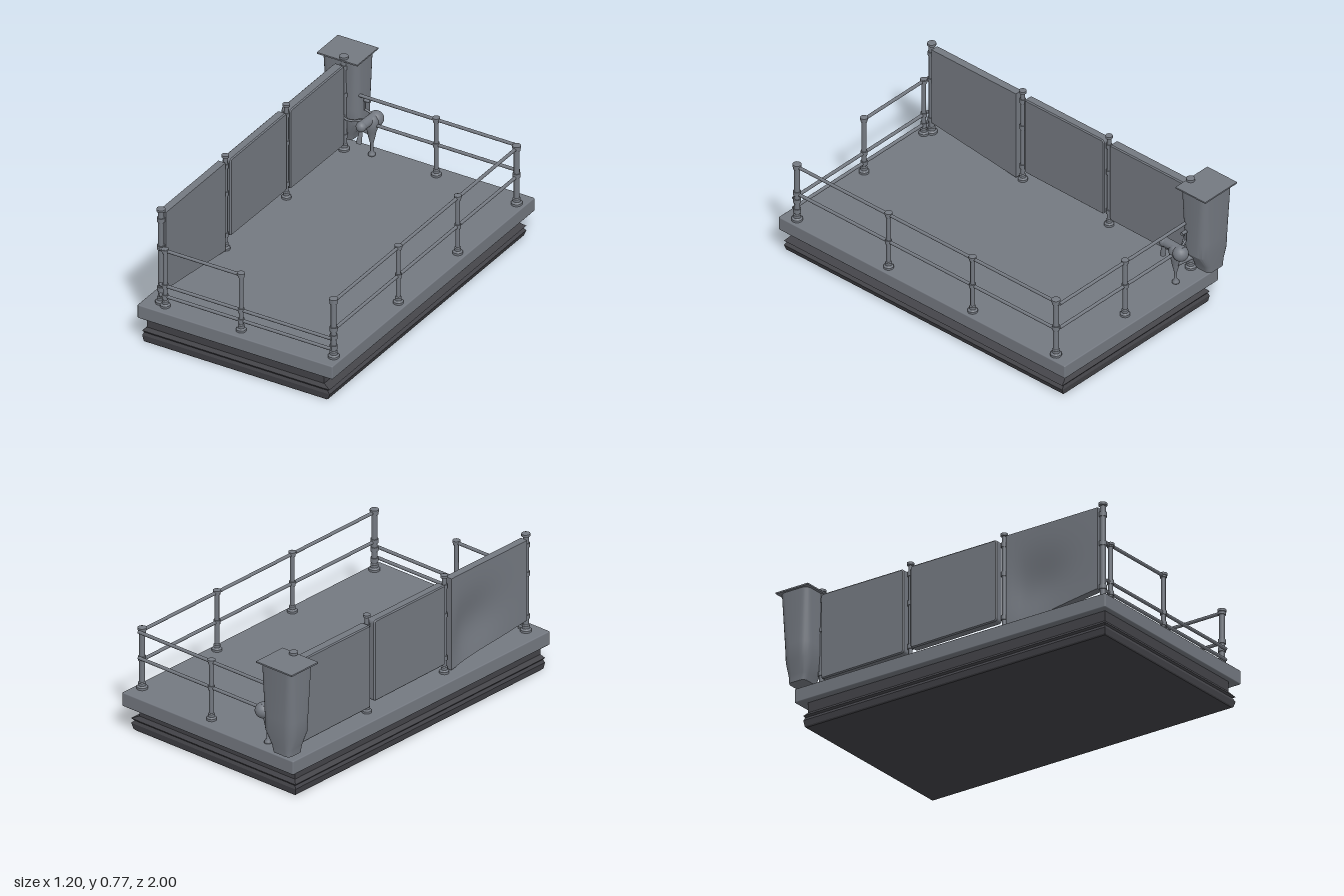
import * as THREE from 'three';
import { toCreasedNormals } from 'three/addons/utils/BufferGeometryUtils.js';
import { RoundedBoxGeometry } from 'three/addons/geometries/RoundedBoxGeometry.js';

const steel = new THREE.MeshStandardMaterial({ color: 0x747981 });
steel.name = 'grey steel';
const rubber = new THREE.MeshStandardMaterial({ color: 0x434348 });
rubber.name = 'dark rubber';

const DECK = 0.215;
const V = (x, y, z) => new THREE.Vector3(x, y, z);

function add(parent, name, geometry, material = steel, x = 0, y = 0, z = 0) {
  const mesh = new THREE.Mesh(geometry, material);
  mesh.name = name;
  mesh.position.set(x, y, z);
  parent.add(mesh);
  return mesh;
}

// Round bar between two points
function bar(parent, name, a, b, r = 0.009, r2 = r) {
  const mesh = add(parent, name, new THREE.CylinderGeometry(r2, r, a.distanceTo(b), 12));
  mesh.position.copy(a).add(b).multiplyScalar(0.5);
  mesh.quaternion.setFromUnitVectors(V(0, 1, 0), b.clone().sub(a).normalize());
  return mesh;
}

// Rectangle with rounded corners, anticlockwise seen from above
function ring(x0, x1, z0, z1, y, r = 0, steps = 0) {
  const points = [];
  const corners = [[x1 - r, z0 + r], [x0 + r, z0 + r], [x0 + r, z1 - r], [x1 - r, z1 - r]];
  corners.forEach(([cx, cz], i) => {
    for (let s = 0; s <= steps; s++) {
      const a = (i + (steps ? s / steps : 0)) * Math.PI / 2;
      points.push([cx + r * Math.cos(a), y, cz - r * Math.sin(a)]);
    }
  });
  return points;
}

// Skin over rings from bottom to top, closed at both ends
function loft(rings, crease = 0.5) {
  const n = rings[0].length, index = [];
  for (let k = 0; k < rings.length - 1; k++) {
    for (let i = 0; i < n; i++) {
      const a = k * n + i, b = k * n + (i + 1) % n;
      index.push(a, b, b + n, a, b + n, a + n);
    }
  }
  const top = (rings.length - 1) * n;
  for (let i = 1; i < n - 1; i++) index.push(0, i + 1, i, top, top + i, top + i + 1);
  const g = new THREE.BufferGeometry();
  g.setAttribute('position', new THREE.Float32BufferAttribute(rings.flat(2), 3));
  g.setIndex(index);
  return toCreasedNormals(g, crease);
}

// Upright post with a foot flange, collars and a cap
function post(parent, name, x, z, top, r, collars = []) {
  const g = new THREE.Group();
  g.name = name;
  g.position.set(x, 0, z);
  parent.add(g);
  const profile = [[0, DECK], [r + 0.014, DECK], [r + 0.014, DECK + 0.012], [r + 0.005, DECK + 0.02],
    [r + 0.005, DECK + 0.035], [r, DECK + 0.04], [r, top - 0.022], [r + 0.008, top - 0.018],
    [r + 0.008, top - 0.005], [r * 0.6, top], [0, top]];
  add(g, 'postShaft', toCreasedNormals(
    new THREE.LatheGeometry(profile.map(([a, b]) => new THREE.Vector2(a, b)), 16), 0.6));
  collars.forEach(y => add(g, 'collar', new THREE.CylinderGeometry(r + 0.005, r + 0.005, 0.024, 16), steel, 0, y, 0));
}

// Bevelled wall panel standing in the yz plane, bottom edge free to slope
function wallPanel(x0, x1, zBack, zFront, yBack, yFront, top) {
  const s = new THREE.Shape(), r = 0.018;
  s.moveTo(-zFront + r, yFront);
  s.lineTo(-zBack - r, yBack);
  s.quadraticCurveTo(-zBack, yBack, -zBack, yBack + r);
  s.lineTo(-zBack, top - r);
  s.quadraticCurveTo(-zBack, top, -zBack - r, top);
  s.lineTo(-zFront + r, top);
  s.quadraticCurveTo(-zFront, top, -zFront, top - r);
  s.lineTo(-zFront, yFront + r);
  s.quadraticCurveTo(-zFront, yFront, -zFront + r, yFront);
  const b = 0.006;
  const g = new THREE.ExtrudeGeometry(s, { depth: x1 - x0 - 2 * b, bevelThickness: b,
    bevelSize: b, bevelOffset: -b, bevelSegments: 1, curveSegments: 5 });
  g.rotateY(Math.PI / 2);
  g.translate(x0 + b, 0, 0);
  return g;
}

export function createModel() {
  const model = new THREE.Group();
  model.name = 'railedPlatform';

  // Ribbed skirt under the deck
  const skirt = [[0, 0.015], [0.007, 0.008], [0.038, 0], [0.054, 0.012], [0.064, 0], [0.083, 0.028], [0.14, 0.028]];
  add(model, 'skirt', loft(skirt.map(([y, d]) =>
    ring(-0.525 + d * 0.65, 0.575 - d * 1.45, -0.885 + d * 0.6, 0.985 - d * 0.5, y)), 0.1), rubber);

  // Deck slab
  add(model, 'deck', new RoundedBoxGeometry(1.145, 0.077, 1.925, 2, 0.006), steel, 0.0275, 0.177, 0.0375);

  // Railing posts
  const rails = new THREE.Group();
  rails.name = 'railing';
  model.add(rails);
  const rx = 0.555, back = -0.85, front = 0.94;
  post(rails, 'cornerPost', rx, -0.825, 0.562, 0.015, [0.54, 0.385]);
  post(rails, 'cornerPost', rx, 0.915, 0.562, 0.015, [0.54, 0.38, 0.335, 0.275]);
  [-0.265, 0.3].forEach(z => post(rails, 'sidePost', rx, z, 0.558, 0.012, [0.54, 0.375]));
  post(rails, 'backPost', 0.068, back, 0.558, 0.012, [0.54, 0.395]);
  post(rails, 'frontPost', 0.028, front, 0.558, 0.012, [0.54, 0.335, 0.275]);
  post(rails, 'frontEndPost', -0.418, front, 0.555, 0.012, [0.54, 0.335, 0.275]);

  // Rails
  [0.54, 0.375].forEach(y => bar(rails, 'sideRail', V(rx, y, -0.83), V(rx, y, 0.92)));
  [0.54, 0.395].forEach(y => bar(rails, 'backRail', V(-0.41, y, back), V(rx, y, back)));
  [0.335, 0.275].forEach(y => bar(rails, 'frontRail', V(-0.45, y, front), V(rx, y, front)));
  bar(rails, 'frontTopRail', V(-0.45, 0.54, front), V(0.028, 0.54, front));

  // Tall posts holding the wall panels
  const wall = new THREE.Group();
  wall.name = 'wall';
  model.add(wall);
  [[0.92, 0.015], [0.308, 0.011], [-0.272, 0.011], [-0.82, 0.015]].forEach(([z, r]) =>
    post(wall, 'wallPost', -0.455, z, 0.768, r, [0.7, 0.54, 0.3]));

  // Wall panels, the front one with a torn sloping lower edge
  add(wall, 'middlePanel', wallPanel(-0.488, -0.438, -0.251, 0.285, 0.275, 0.28, 0.728));
  add(wall, 'backPanel', wallPanel(-0.495, -0.44, -0.8, -0.287, 0.255, 0.26, 0.722));
  const dented = new THREE.BoxGeometry(0.042, 1, 1, 1, 16, 16);
  const p = dented.attributes.position;
  for (let i = 0; i < p.count; i++) {
    const v = p.getY(i) + 0.5, u = p.getZ(i) + 0.5;
    const low = THREE.MathUtils.lerp(0.225, 0.29, u);
    const dent = p.getX(i) < 0 ? 0.034 * Math.exp(-((u - 0.3) ** 2 + (v - 0.35) ** 2) * 9) * Math.min(1, 8 * u * (1 - u)) : 0;
    p.setXYZ(i, p.getX(i) + dent, THREE.MathUtils.lerp(low, 0.737, v), THREE.MathUtils.lerp(0.337, 0.904, u));
  }
  add(wall, 'dentedPanel', toCreasedNormals(dented, 0.5), steel, -0.457, 0, 0);

  // Hopper in the back corner
  const hopper = new THREE.Group();
  hopper.name = 'hopper';
  model.add(hopper);
  add(hopper, 'hopperBody', loft([
    ring(-0.552, -0.435, -0.964, -0.86, 0.252, 0.025, 5),
    ring(-0.555, -0.425, -0.967, -0.85, 0.29, 0.03, 5),
    ring(-0.579, -0.378, -0.978, -0.825, 0.365, 0.05, 5),
    ring(-0.582, -0.377, -0.98, -0.822, 0.45, 0.05, 5),
    ring(-0.588, -0.375, -0.988, -0.815, 0.742, 0.035, 5)]));
  add(hopper, 'hopperLid', new THREE.BoxGeometry(0.238, 0.008, 0.2), steel, -0.483, 0.742, -0.9);

  // Hand pump beside the hopper
  const pump = new THREE.Group();
  pump.name = 'handPump';
  model.add(pump);
  const leg = [[0, 0.215], [0.02, 0.215], [0.018, 0.225], [0.008, 0.24], [0.008, 0.28], [0.02, 0.33],
    [0.024, 0.355], [0.034, 0.38], [0.036, 0.42], [0.022, 0.44], [0, 0.445]];
  add(pump, 'pumpStand', new THREE.LatheGeometry(leg.map(([a, b]) => new THREE.Vector2(a, b)), 14), steel, -0.31, 0, -0.85);
  add(pump, 'pumpHead', new THREE.SphereGeometry(0.042, 16, 12), steel, -0.308, 0.41, -0.885);
  bar(pump, 'pumpBarrel', V(-0.31, 0.425, -0.9), V(-0.32, 0.42, -0.775), 0.026);
  add(pump, 'pumpNose', new THREE.SphereGeometry(0.028, 14, 10), steel, -0.32, 0.42, -0.765);
  bar(pump, 'pumpSpout', V(-0.318, 0.41, -0.765), V(-0.325, 0.33, -0.75), 0.008, 0.015);
  bar(pump, 'pumpPipe', V(-0.31, 0.335, -0.86), V(-0.43, 0.335, -0.88), 0.014);
  bar(pump, 'crankArm', V(-0.363, 0.45, -0.87), V(-0.363, 0.515, -0.87), 0.005);
  bar(pump, 'crankGrip', V(-0.365, 0.508, -0.87), V(-0.332, 0.508, -0.87), 0.009);
  bar(pump, 'crankShaft', V(-0.363, 0.455, -0.87), V(-0.31, 0.43, -0.88), 0.006);

  // Hose from the hopper to the post
  const hose = new THREE.CatmullRomCurve3([V(-0.46, 0.45, -0.83), V(-0.44, 0.415, -0.8), V(-0.4, 0.4, -0.82), V(-0.34, 0.41, -0.86)]);
  add(pump, 'hose', new THREE.TubeGeometry(hose, 16, 0.006, 8));

  return model;
}
